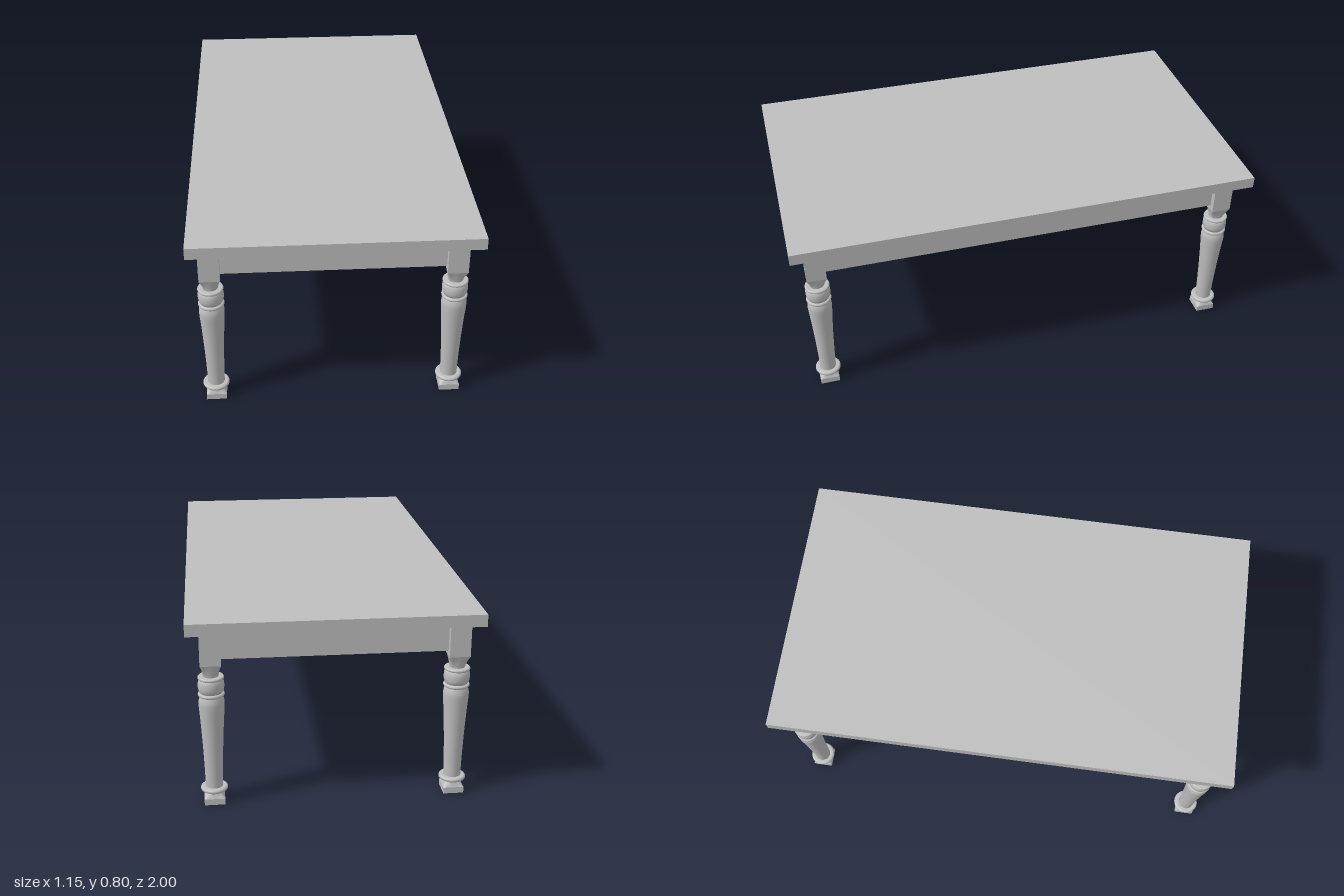
import * as THREE from 'three';

const grey = new THREE.MeshStandardMaterial({ color: 0xbebebe });
grey.name = 'grey paint';

const HALF = 0.0415; // half width of the square leg parts
const LEG_X = [-0.492, 0.483];
const LEG_Z = [0.901, -0.894];

function add(parent, name, geometry, x = 0, y = 0, z = 0) {
  const mesh = new THREE.Mesh(geometry, grey);
  mesh.name = name;
  mesh.position.set(x, y, z);
  parent.add(mesh);
}

// box given by its limits
function addBox(parent, name, x0, x1, y0, y1, z0, z1) {
  add(parent, name, new THREE.BoxGeometry(x1 - x0, y1 - y0, z1 - z0),
    (x0 + x1) / 2, (y0 + y1) / 2, (z0 + z1) / 2);
}

// lathe through a smooth curve of [radius, height] points
function turned(points, steps) {
  const curve = new THREE.SplineCurve(points.map(p => new THREE.Vector2(...p)));
  return new THREE.LatheGeometry(curve.getPoints(steps), 32);
}

// rounded disc around the leg
function ringGeometry(radius, y0, y1) {
  const h = (y1 - y0) / 2, pts = [new THREE.Vector2(0.02, y0)];
  for (let i = 0; i <= 8; i++) {
    const a = -Math.PI / 2 + Math.PI * i / 8;
    pts.push(new THREE.Vector2(radius - h + h * Math.cos(a), y0 + h + h * Math.sin(a)));
  }
  pts.push(new THREE.Vector2(0.02, y1));
  return new THREE.LatheGeometry(pts, 32);
}

// transition from a round section (t = 0) to a square one (t = 1)
function roundToSquare(radius, yRound, ySquare) {
  const rows = 8, n = 32, pos = [], index = [];
  for (let j = 0; j <= rows; j++) {
    const t = j / rows;
    for (let i = 0; i <= n; i++) {
      const a = i / n * Math.PI * 2, c = Math.cos(a), s = Math.sin(a);
      const square = HALF / Math.max(Math.abs(c), Math.abs(s));
      const r = THREE.MathUtils.lerp(radius, square, Math.pow(t, 1.3));
      pos.push(r * c, THREE.MathUtils.lerp(yRound, ySquare, t), r * s);
      if (j < rows && i < n) {
        const p = j * (n + 1) + i, q = p + n + 1;
        if (ySquare > yRound) index.push(p, q, p + 1, q, q + 1, p + 1);
        else index.push(p, p + 1, q, q, p + 1, q + 1);
      }
    }
  }
  const g = new THREE.BufferGeometry();
  g.setAttribute('position', new THREE.Float32BufferAttribute(pos, 3));
  g.setIndex(index);
  g.computeVertexNormals();
  return g;
}

const parts = {
  footNeck: roundToSquare(0.031, 0.055, 0.026),
  ankleRing: ringGeometry(0.055, 0.052, 0.07),
  shaft: turned([[0.035, 0.068], [0.036, 0.13], [0.04, 0.24], [0.046, 0.35],
    [0.051, 0.42], [0.05, 0.445], [0.044, 0.465]], 28),
  lowerRing: ringGeometry(0.053, 0.463, 0.478),
  bulb: turned([[0.043, 0.476], [0.05, 0.49], [0.052, 0.508], [0.05, 0.525], [0.044, 0.538]], 16),
  upperRing: ringGeometry(0.052, 0.534, 0.547),
  blockNeck: roundToSquare(0.031, 0.545, 0.6),
};

function createLeg() {
  const leg = new THREE.Group();
  leg.name = 'leg';
  addBox(leg, 'foot', -HALF, HALF, 0, 0.026, -HALF, HALF);
  for (const [name, geometry] of Object.entries(parts)) add(leg, name, geometry);
  addBox(leg, 'legBlock', -HALF, HALF, 0.6, 0.747, -HALF, HALF);
  return leg;
}

export function createModel() {
  const table = new THREE.Group();
  table.name = 'table';

  addBox(table, 'tableTop', -0.576, 0.576, 0.747, 0.796, -1, 1);

  for (const x of LEG_X) for (const z of LEG_Z) {
    const leg = createLeg();
    leg.position.set(x, 0, z);
    table.add(leg);
  }

  // aprons run between the leg blocks, set back from their faces
  const T = 0.016, [xl, xr] = LEG_X, [zf, zb] = LEG_Z;
  for (const z of LEG_Z) addBox(table, 'endApron', xl + HALF, xr - HALF, 0.619, 0.747, z - T, z + T);
  for (const x of LEG_X) addBox(table, 'sideApron', x - T, x + T, 0.619, 0.747, zb + HALF, zf - HALF);

  return table;
}
